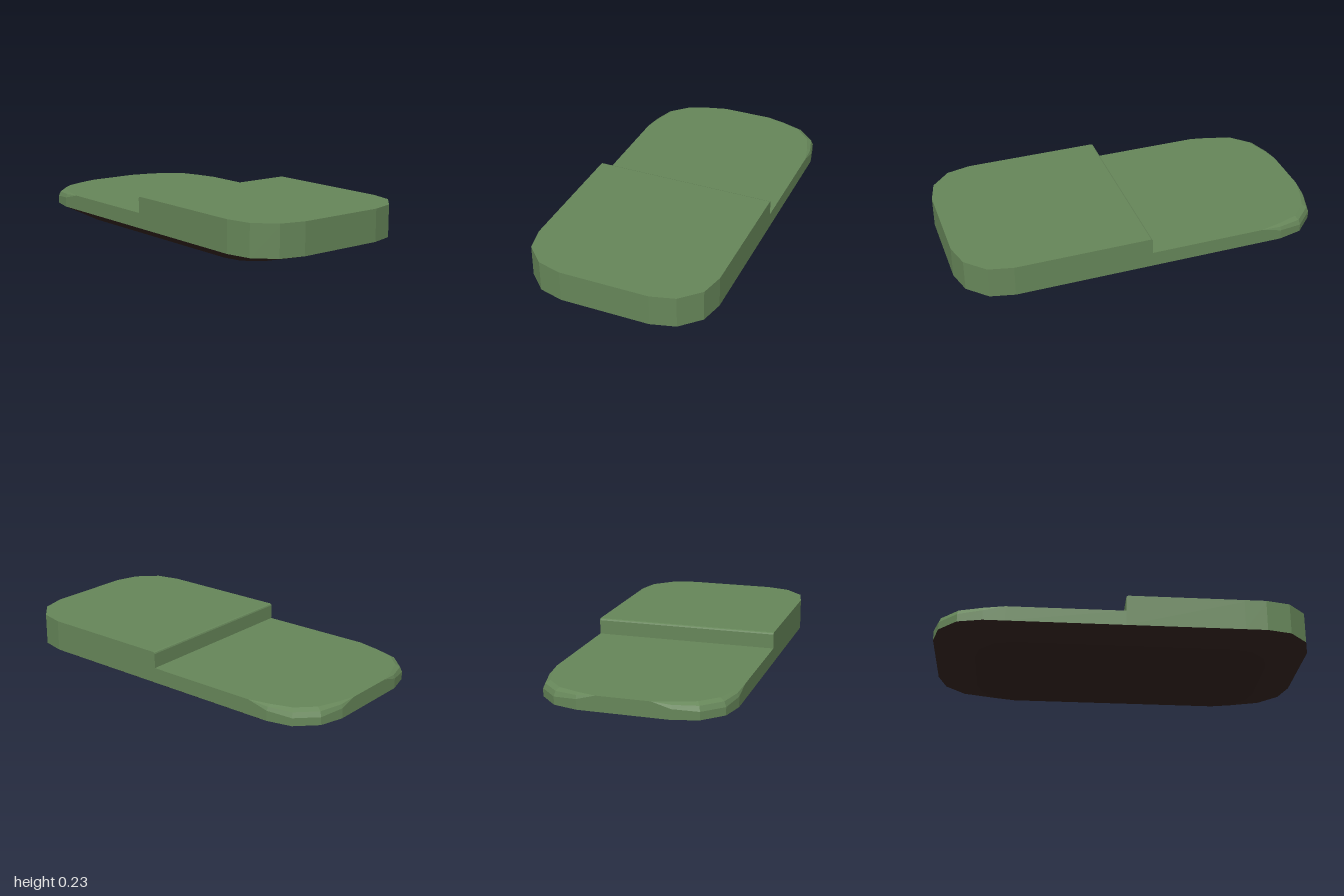
import * as THREE from 'three';

const BASE_TOP = 0.065, LOW_TOP = 0.147, HIGH_TOP = 0.235;

// One corner of the outline: [x, z, softening of the rear top edge]
const CORNER = [
  [0.5, 0.62, 0], [0.5, 0.735, 0.7], [0.47, 0.865, 1],
  [0.37, 0.965, 1], [0.24, 1, 0.7], [0.14, 1, 0],
];

// Half outlines, running counter-clockwise seen from above
const point = ([x, z, w], sx, sz) => ({ x: x * sx, z: z * sz, w, sx, sz });
const rearHalf = [
  point([0.5, 0, 0], 1, -1),
  ...CORNER.map((c) => point(c, 1, -1)),
  ...[...CORNER].reverse().map((c) => point(c, -1, -1)),
  point([0.5, 0, 0], -1, -1),
];
const frontHalf = rearHalf.map((p) => ({ ...p, x: -p.x, z: -p.z, sx: -p.sx, sz: -p.sz }));

// Skins a stack of closed rings from bottom to top and caps both ends
function loft(name, rings, color) {
  const pos = [];
  const tri = (...pts) => pts.forEach((p) => pos.push(p.x, p.y, p.z));
  const n = rings[0].length;
  const centre = (ring) =>
    ring.reduce((s, p) => s.add(p), new THREE.Vector3()).divideScalar(n);
  const bottom = rings[0], top = rings[rings.length - 1];
  const cb = centre(bottom), ct = centre(top);
  for (let i = 0; i < n; i++) {
    const j = (i + 1) % n;
    for (let k = 0; k < rings.length - 1; k++) {
      const a = rings[k], b = rings[k + 1];
      tri(a[i], a[j], b[j]);
      tri(a[i], b[j], b[i]);
    }
    tri(cb, bottom[j], bottom[i]);
    tri(ct, top[i], top[j]);
  }
  const geometry = new THREE.BufferGeometry();
  geometry.setAttribute('position', new THREE.Float32BufferAttribute(pos, 3));
  geometry.computeVertexNormals();
  const mesh = new THREE.Mesh(geometry, new THREE.MeshStandardMaterial({ color, flatShading: true }));
  mesh.name = name;
  return mesh;
}

export function createModel() {
  const group = new THREE.Group();
  group.name = 'steppedSlab';
  const green = 0x668659, brown = 0x33231f;

  // Tapered underside
  const outline = [...rearHalf.slice(0, -1), ...frontHalf.slice(0, -1)];
  const baseRing = (s, y) => outline.map((p) => new THREE.Vector3(p.x * s, y, p.z * s));
  group.add(loft('base', [baseRing(0.78, 0), baseRing(1, BASE_TOP)], brown));

  // Low rear deck, its two outer corners rounded over
  const rearRing = (y, drop, inset) => rearHalf.map((p) => {
    const dir = new THREE.Vector2(p.x - 0.24 * p.sx, p.z - 0.735 * p.sz).normalize();
    return new THREE.Vector3(p.x - dir.x * inset * p.w, y - drop * p.w, p.z - dir.y * inset * p.w);
  });
  group.add(loft('rearDeck', [
    rearRing(BASE_TOP, 0, 0),
    rearRing(LOW_TOP, 0.04, 0),
    rearRing(LOW_TOP, 0.014, 0.012),
    rearRing(LOW_TOP, 0, 0.038),
  ], green));

  // Raised front deck with a small bevel along the step
  const frontRing = (y, stepZ) =>
    frontHalf.map((p) => new THREE.Vector3(p.x, y, Math.max(p.z, stepZ)));
  group.add(loft('frontDeck', [
    frontRing(BASE_TOP, 0),
    frontRing(HIGH_TOP - 0.01, 0),
    frontRing(HIGH_TOP - 0.003, 0.003),
    frontRing(HIGH_TOP, 0.01),
  ], green));

  return group;
}
